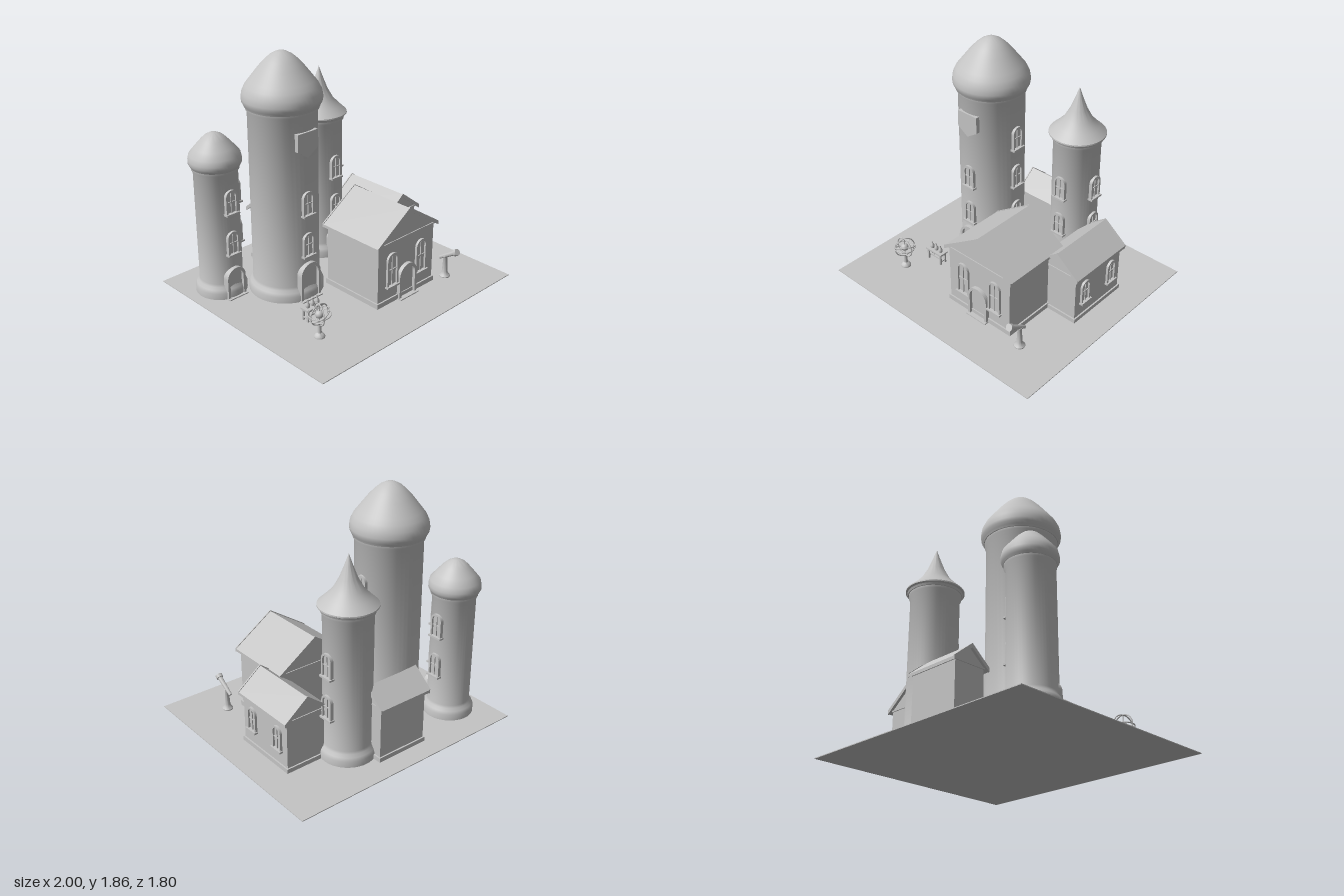
import * as THREE from 'three';
import { toCreasedNormals } from 'three/addons/utils/BufferGeometryUtils.js';

const stone = new THREE.MeshStandardMaterial({ color: 0xc4c4c4 });
stone.name = 'pale grey stone';

function add(parent, name, geometry, x = 0, y = 0, z = 0) {
  const mesh = new THREE.Mesh(geometry, stone);
  mesh.name = name;
  mesh.position.set(x, y, z);
  parent.add(mesh);
  return mesh;
}

function group(parent, name, x = 0, y = 0, z = 0, turn = 0) {
  const g = new THREE.Group();
  g.name = name;
  g.position.set(x, y, z);
  g.rotation.y = turn;
  parent.add(g);
  return g;
}

const box = (w, h, d) => new THREE.BoxGeometry(w, h, d);

function lathe(points, segments = 48) {
  const g = new THREE.LatheGeometry(points.map(([r, y]) => new THREE.Vector2(r, y)), segments);
  return toCreasedNormals(g, 0.6);
}

function polygon(points) {
  return new THREE.Shape(points.map(([x, y]) => new THREE.Vector2(x, y)));
}

function extrude(shape, depth) {
  return new THREE.ExtrudeGeometry(shape, { depth, bevelEnabled: false, curveSegments: 12 });
}

// Round-headed outline, standing on y = y0
function archPath(path, w, h, y0) {
  const r = w / 2;
  path.moveTo(-r, y0);
  path.lineTo(r, y0);
  path.lineTo(r, h - r);
  path.absarc(0, h - r, r, 0, Math.PI, false);
  path.lineTo(-r, y0);
  return path;
}

function archFrame(w, h, t, depth) {
  const shape = archPath(new THREE.Shape(), w, h, 0);
  shape.holes.push(archPath(new THREE.Path(), w - 2 * t, h - t, 0.004));
  return extrude(shape, depth);
}

// Arched window: frame, pane, glazing bars and sill, facing local +z
function addWindow(parent, x, y, z, turn, h = 0.19, w = 0.104) {
  const g = group(parent, 'window', x, y, z, turn);
  add(g, 'windowFrame', archFrame(w, h, 0.015, 0.036), 0, 0, -0.018);
  add(g, 'windowPane', extrude(archPath(new THREE.Shape(), w - 0.02, h - 0.01, 0), 0.018), 0, 0, -0.015);
  add(g, 'uprightBar', box(0.007, h - 0.02, 0.012), 0, h / 2, 0.005);
  add(g, 'crossBar', box(w - 0.025, 0.007, 0.012), 0, h * 0.5, 0.005);
  add(g, 'sill', box(w + 0.014, 0.014, 0.048), 0, 0.003, 0.006);
}

// Arched door with surround and threshold
function addDoor(parent, x, z, w, h) {
  const g = group(parent, 'door', x, 0, z);
  add(g, 'doorFrame', archFrame(w, h, 0.02, 0.055), 0, 0, -0.025);
  add(g, 'doorLeaf', extrude(archPath(new THREE.Shape(), w - 0.03, h - 0.015, 0), 0.03), 0, 0, -0.025);
  add(g, 'threshold', box(w + 0.01, 0.014, 0.07), 0, 0.007, 0.015);
}

function addTower(parent, name, x, z, r, top, roof, doorW, doorH, rightRows) {
  const g = group(parent, name, x, 0, z);
  add(g, 'towerBody', lathe([
    [0, 0], [r + 0.032, 0], [r + 0.032, 0.055], [r + 0.022, 0.08], [r + 0.006, 0.1], [r, 0.12],
    [r, top - 0.05], [r + 0.012, top - 0.03], [r + 0.012, top], [0, top],
  ]));
  add(g, 'towerRoof', lathe(roof));
  addDoor(g, 0, r, doorW, doorH);
  for (const y of [0.355, 0.685]) addWindow(g, 0, y, r, 0);
  for (const y of rightRows) addWindow(g, r, y, 0, Math.PI / 2);
  return g;
}

// Gabled building with its ridge along local z
function addHouse(parent, name, x, z, turn, o) {
  const g = group(parent, name, x, 0, z, turn);
  const { half, len, eaveX, eaveY, ridge, roofLen, plinth } = o;
  const t = 0.026;
  const slope = (ridge - eaveY) / eaveX;
  const wallTop = ridge - t - slope * half;
  const chevron = (lift, drop) => polygon([
    [-eaveX, eaveY - drop], [0, ridge - drop], [eaveX, eaveY - drop],
    [eaveX, eaveY + lift], [0, ridge + lift], [-eaveX, eaveY + lift]]);
  add(g, 'walls', extrude(polygon([[-half, 0], [half, 0], [half, wallTop], [0, ridge - t], [-half, wallTop]]), len), 0, 0, -len / 2);
  add(g, 'plinth', box(2 * half + 0.024, plinth, len + 0.024), 0, plinth / 2, 0);
  add(g, 'cornice', box(2 * half + 0.014, 0.012, len + 0.014), 0, wallTop - 0.006, 0);
  add(g, 'roof', extrude(chevron(-0.004, t), roofLen - 0.01), 0, 0, -roofLen / 2 + 0.005);
  for (const s of [-1, 1]) add(g, 'gableTrim', extrude(chevron(0.002, t + 0.004), 0.01), 0, 0, s * (roofLen / 2 - 0.005) - 0.005);
  return g;
}

export function createModel() {
  const model = new THREE.Group();
  model.name = 'castle';

  add(model, 'ground', box(2, 0.006, 1.8), 0, 0.003, 0);

  // Towers
  const main = addTower(model, 'mainTower', -0.345, -0.2, 0.252, 1.48, [
    [0, 1.465], [0.27, 1.468], [0.277, 1.485], [0.288, 1.505], [0.291, 1.53], [0.284, 1.575], [0.262, 1.62],
    [0.235, 1.655], [0.165, 1.745], [0.12, 1.795], [0.08, 1.83], [0.04, 1.852], [0, 1.862]],
  0.19, 0.305, [0.355, 0.685, 1.02]);
  add(main, 'shield', extrude(polygon([[-0.094, 1.33], [-0.094, 1.198], [0, 1.137], [0.094, 1.198], [0.094, 1.33]]), 0.04), 0, 0, 0.226);

  addTower(model, 'leftTower', -0.725, -0.515, 0.163, 1.03, [
    [0, 1.015], [0.178, 1.018], [0.186, 1.032], [0.195, 1.05], [0.195, 1.075], [0.186, 1.115], [0.145, 1.165],
    [0.095, 1.222], [0.065, 1.25], [0.03, 1.268], [0, 1.273]],
  0.165, 0.25, [0.355, 0.685]);

  addTower(model, 'spireTower', 0.265, -0.475, 0.18, 1.175, [
    [0, 1.163], [0.198, 1.165], [0.204, 1.18], [0.216, 1.188], [0.215, 1.198], [0.16, 1.25],
    [0.11, 1.303], [0.065, 1.385], [0.03, 1.475], [0, 1.56]],
  0.16, 0.25, [0.355, 0.685]);

  // Buildings
  const hall = addHouse(model, 'frontHall', 0.2, 0.265, 0,
    { half: 0.3, len: 0.525, eaveX: 0.33, eaveY: 0.515, ridge: 0.735, roofLen: 0.575, plinth: 0.045 });
  addDoor(hall, 0, 0.2625, 0.185, 0.28);
  for (const s of [-1, 1]) addWindow(hall, s * 0.157, 0.145, 0.2625, 0, 0.275, 0.115);

  const wing = addHouse(model, 'sideWing', 0.595, -0.155, 0,
    { half: 0.165, len: 0.525, eaveX: 0.195, eaveY: 0.423, ridge: 0.575, roofLen: 0.575, plinth: 0.04 });
  for (const s of [-1, 1]) addWindow(wing, 0.165, 0.147, s * 0.153, Math.PI / 2, 0.195, 0.1);

  addHouse(model, 'backStore', -0.04, -0.597, Math.PI / 2,
    { half: 0.128, len: 0.42, eaveX: 0.158, eaveY: 0.45, ridge: 0.582, roofLen: 0.47, plinth: 0.04 });

  // Ringed globe on a stand
  const globe = group(model, 'ringedGlobe', -0.65, 0, 0.495);
  add(globe, 'stand', lathe([[0, 0], [0.04, 0], [0.04, 0.015], [0.03, 0.03], [0.016, 0.04], [0.013, 0.11], [0.02, 0.12], [0, 0.125]], 20));
  add(globe, 'axle', new THREE.CylinderGeometry(0.004, 0.004, 0.164, 8), 0, 0.187, 0);
  add(globe, 'ball', new THREE.SphereGeometry(0.03, 20, 14), 0, 0.187, 0);
  const ringTurns = [[0, 0, 0], [Math.PI / 2, 0, 0], [0, 1.25, 0], [1.25, 0.4, 0]];
  for (const turn of ringTurns) {
    add(globe, 'ring', new THREE.TorusGeometry(0.08, 0.0045, 8, 40), 0, 0.187, 0).rotation.set(...turn);
  }

  // Table with three flasks
  const table = group(model, 'flaskTable', -0.517, 0, 0.28);
  add(table, 'tableTop', box(0.168, 0.012, 0.076), 0, 0.102, 0);
  add(table, 'apron', box(0.145, 0.016, 0.056), 0, 0.09, 0);
  add(table, 'stretcher', box(0.14, 0.01, 0.012), 0, 0.032, 0);
  for (const sx of [-1, 1]) {
    add(table, 'footRail', box(0.01, 0.01, 0.05), sx * 0.067, 0.032, 0);
    for (const sz of [-1, 1]) add(table, 'tableLeg', box(0.014, 0.1, 0.014), sx * 0.067, 0.05, sz * 0.024);
  }
  for (const i of [-1, 0, 1]) {
    add(table, 'flask', lathe([[0, 0], [0.014, 0], [0.017, 0.012], [0.015, 0.026], [0.006, 0.042], [0.006, 0.06], [0.009, 0.064], [0, 0.064]], 16), i * 0.046, 0.108, 0);
  }

  // Telescope on a pillar
  const scope = group(model, 'telescope', 0.625, 0, 0.56);
  add(scope, 'pillar', lathe([[0, 0], [0.042, 0], [0.042, 0.014], [0.028, 0.03], [0.022, 0.05], [0.015, 0.17], [0.02, 0.18], [0, 0.185]], 20));
  const tube = group(scope, 'tube', 0, 0.197, 0.02);
  tube.rotation.x = Math.PI / 2 - 0.57;
  add(tube, 'barrel', lathe([[0, -0.085], [0.013, -0.085], [0.015, -0.04], [0.019, 0.08], [0.027, 0.082], [0.027, 0.11], [0, 0.11]], 20));

  return model;
}
